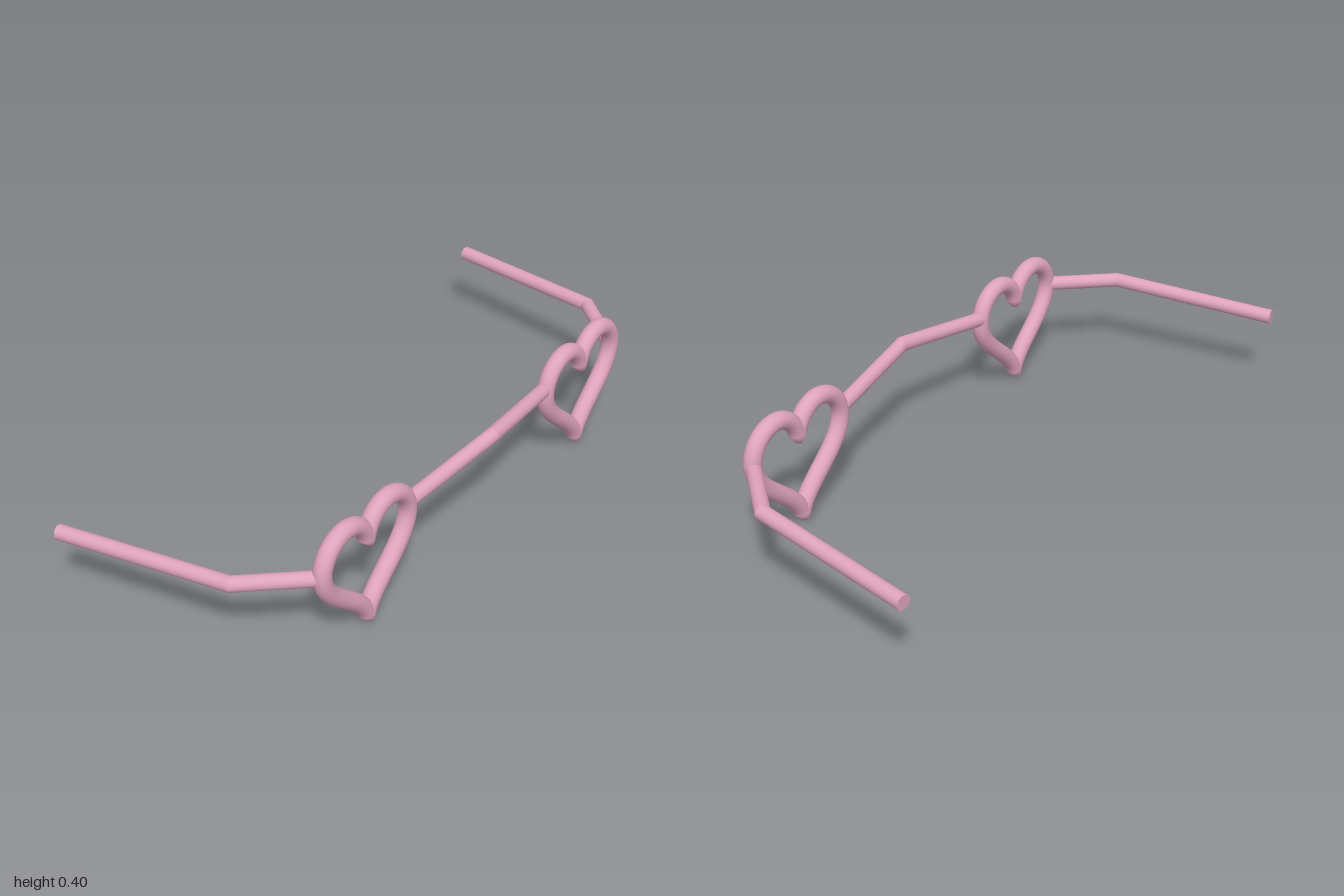
import * as THREE from 'three';

const pink = new THREE.MeshStandardMaterial({ color: 0xdfa3bd });
pink.name = 'rose pink';

const V = (x, y, z) => new THREE.Vector3(x, y, z);

// Straight round rods joined with mitred bends and flat end caps
function mitredRod(points, radius, sides = 16) {
  const pos = [], nor = [], idx = [];
  const dirs = points.slice(1).map((p, i) => p.clone().sub(points[i]).normalize());
  const push = (p, n) => { pos.push(p.x, p.y, p.z); nor.push(n.x, n.y, n.z); };
  dirs.forEach((d, s) => {
    const u = d.clone().cross(V(0, 1, 0)).normalize();
    const v = d.clone().cross(u);
    const base = pos.length / 3;
    for (let end = 0; end < 2; end++) {
      const near = dirs[end ? s + 1 : s - 1] ?? d;
      const plane = d.clone().add(near).normalize();
      for (let i = 0; i <= sides; i++) {
        const a = (i / sides) * Math.PI * 2;
        const n = u.clone().multiplyScalar(Math.cos(a)).addScaledVector(v, Math.sin(a));
        const p = n.clone().multiplyScalar(radius);
        p.addScaledVector(d, -p.dot(plane) / d.dot(plane)).add(points[s + end]);
        push(p, n);
      }
    }
    for (let i = 0; i < sides; i++) {
      const a = base + i, c = a + sides + 1;
      idx.push(a, a + 1, c, a + 1, c + 1, c);
    }
    // caps on the free ends
    for (const end of [0, 1]) {
      if (dirs[end ? s + 1 : s - 1]) continue;
      const n = d.clone().multiplyScalar(end ? 1 : -1);
      const hub = pos.length / 3;
      push(points[s + end], n);
      for (let i = 0; i <= sides; i++) {
        const k = (base + end * (sides + 1) + i) * 3;
        push(V(pos[k], pos[k + 1], pos[k + 2]), n);
      }
      for (let i = 1; i <= sides; i++) {
        if (end) idx.push(hub, hub + i, hub + i + 1);
        else idx.push(hub, hub + i + 1, hub + i);
      }
    }
  });
  const g = new THREE.BufferGeometry();
  g.setAttribute('position', new THREE.Float32BufferAttribute(pos, 3));
  g.setAttribute('normal', new THREE.Float32BufferAttribute(nor, 3));
  g.setIndex(idx);
  return g;
}

// Heart-shaped rim swept along the classic heart curve
function heartRim() {
  const k = 0.0118, pts = [], count = 64;
  for (let i = 0; i < count; i++) {
    const t = (i / count) * Math.PI * 2;
    pts.push(V(
      16 * k * Math.sin(t) ** 3,
      k * (13 * Math.cos(t) - 5 * Math.cos(2 * t) - 2 * Math.cos(3 * t) - Math.cos(4 * t)),
      0));
  }
  return new THREE.TubeGeometry(new THREE.CatmullRomCurve3(pts, true), 128, 0.027, 16, true);
}

export function createModel() {
  const group = new THREE.Group();
  group.name = 'heartGlasses';
  const add = (geometry, name) => {
    const mesh = new THREE.Mesh(geometry, pink);
    mesh.name = name;
    group.add(mesh);
    return mesh;
  };

  const rim = heartRim();
  for (const [side, label] of [[1, 'left'], [-1, 'right']]) {
    add(rim, label + 'Rim').position.set(side * 0.541, 0.231, 0.327);
    // temple arm: short hinge piece, then the long arm dipping backwards
    add(mitredRod([
      V(side * 0.73, 0.275, 0.325),
      V(side * 0.89, 0.275, 0.148),
      V(side * 0.976, 0.253, -0.389),
    ], 0.0228), label + 'Arm');
  }

  // bridge rising to a shallow peak in the middle
  add(mitredRod([
    V(-0.345, 0.297, 0.325), V(0, 0.341, 0.368), V(0.345, 0.297, 0.325),
  ], 0.0228), 'bridge');

  return group;
}
